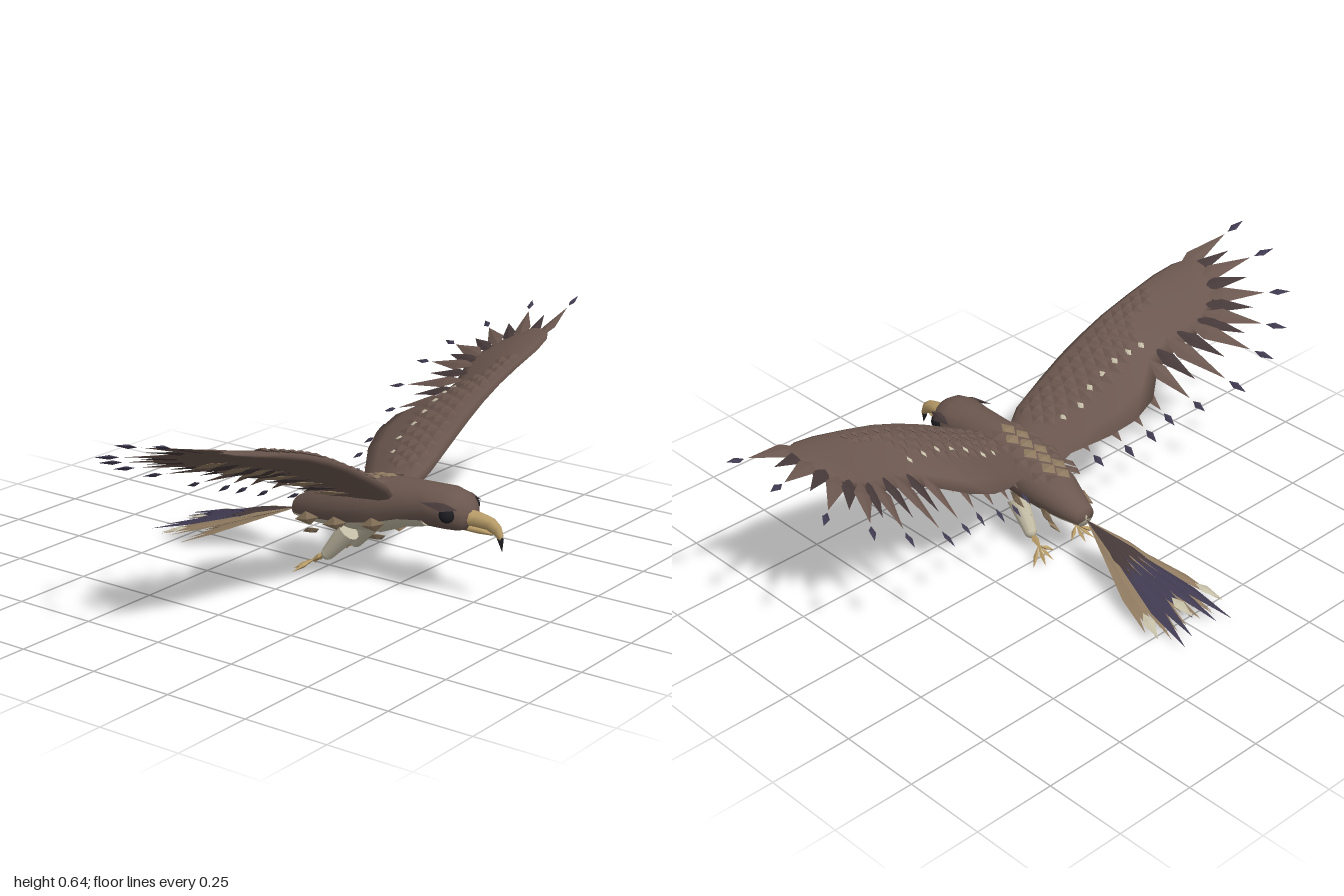
import * as THREE from 'three';

const mat = (name, color) => {
  const m = new THREE.MeshStandardMaterial({ color });
  m.name = name;
  return m;
};
const V = (x, y, z) => new THREE.Vector3(x, y, z);

export function createModel() {
  const bird = new THREE.Group();
  bird.name = 'bird';
  const brown = mat('brown plumage', 0x6b574f);
  const dark = mat('dark brown', 0x46393a);
  const tan = mat('tan feather', 0x8f7a60);
  const cream = mat('cream belly', 0xc4bda6);
  const violet = mat('violet feather', 0x403a50);
  const horn = mat('horn yellow', 0xb89c68);
  const black = mat('black', 0x1d1c20);
  belly: cream.side = THREE.DoubleSide;
  brown.side = THREE.DoubleSide;

  const add = (geo, material, name, parent = bird) => {
    const mesh = new THREE.Mesh(geo, material);
    mesh.name = name;
    parent.add(mesh);
    return mesh;
  };

  // Thin faceted blade, widest at fraction t between base and tip
  const blade = (parent, name, material, base, tip, width, up = V(0, 1, 0), t = 0.5, thick = 0.006) => {
    const dir = tip.clone().sub(base).normalize();
    const side = dir.clone().cross(up).normalize();
    const n = side.clone().cross(dir);
    const mid = base.clone().lerp(tip, t);
    const ring = [
      mid.clone().addScaledVector(side, width / 2), mid.clone().addScaledVector(n, thick / 2),
      mid.clone().addScaledVector(side, -width / 2), mid.clone().addScaledVector(n, -thick / 2)];
    const pts = [];
    ring.forEach((a, i) => {
      const b = ring[(i + 1) % 4];
      pts.push(base, a, b, tip, b, a);
    });
    const geo = new THREE.BufferGeometry().setFromPoints(pts);
    geo.computeVertexNormals();
    return add(geo, material, name, parent);
  };

  // Skin over rows of points
  const loft = (rows, flip, closed) => {
    const n = rows[0].length, index = [];
    for (let r = 0; r < rows.length - 1; r++) {
      for (let i = 0; i < (closed ? n : n - 1); i++) {
        const j = (i + 1) % n, a = r * n + i, b = r * n + j, c = a + n, d = b + n;
        index.push(...(flip ? [a, c, b, b, c, d] : [a, b, c, b, d, c]));
      }
    }
    const geo = new THREE.BufferGeometry().setFromPoints(rows.flat());
    geo.setIndex(index);
    geo.computeVertexNormals();
    return geo;
  };

  // Body rings: z, centre y, half width, half height, belly line y
  const rings = [
    [-0.115, 0.165, 0.004, 0.008, 0.14], [-0.11, 0.165, 0.034, 0.03, 0.15], [-0.05, 0.18, 0.055, 0.05, 0.157],
    [0.0, 0.195, 0.072, 0.062, 0.162], [0.1, 0.217, 0.088, 0.078, 0.174], [0.2, 0.233, 0.085, 0.083, 0.195],
    [0.28, 0.252, 0.07, 0.07, 0.218], [0.36, 0.262, 0.068, 0.062, 0.23], [0.365, 0.263, 0.068, 0.061, 0.1],
    [0.42, 0.265, 0.076, 0.06, 0.1], [0.46, 0.262, 0.068, 0.054, 0.1],
    [0.485, 0.256, 0.045, 0.042, 0.1], [0.498, 0.25, 0.004, 0.004, 0.1]];
  const bodyRows = (lower) => rings.map(([z, cy, rx, ry, yb]) => {
    const s = Math.asin(Math.max(-1, (yb - cy) / ry)), row = [];
    for (let i = 0; i <= 14; i++) {
      const a = lower ? -Math.PI - s + (i / 14) * (Math.PI + 2 * s) : s + (i / 14) * (Math.PI - 2 * s);
      row.push(V(rx * Math.cos(a), cy + ry * Math.sin(a), z));
    }
    return row;
  });
  add(loft(bodyRows(false)), brown, 'body');
  add(loft(bodyRows(true).slice(0, 8)), cream, 'belly');

  // Hooked beak
  const hook = (pts, material, name) => add(loft(pts.map(([z, y, rx, ry]) => {
    const row = [];
    for (let i = 0; i < 8; i++) {
      const a = (i / 8) * Math.PI * 2;
      row.push(V(rx * Math.cos(a), y + ry * Math.sin(a), z + ry * 0.4 * Math.sin(a)));
    }
    return row;
  }), false, true), material, name);
  hook([[0.47, 0.248, 0.03, 0.026], [0.51, 0.247, 0.024, 0.022], [0.55, 0.243, 0.018, 0.019],
    [0.575, 0.228, 0.013, 0.016], [0.588, 0.206, 0.008, 0.009]], horn, 'upperBeak');
  hook([[0.47, 0.222, 0.02, 0.012], [0.52, 0.218, 0.015, 0.009], [0.56, 0.214, 0.003, 0.003]], horn, 'lowerBeak');
  blade(bird, 'beakTip', black, V(0, 0.225, 0.58), V(0, 0.17, 0.59), 0.02, V(0, 0, 1), 0.35, 0.022);

  // Back scales
  for (let r = 0; r < 7; r++) {
    const z = 0.24 - r * 0.038, count = r % 2 ? 4 : 3;
    for (let i = 0; i < count; i++) {
      const x = (i - (count - 1) / 2) * 0.038;
      const y = 0.318 - (0.24 - z) * 0.2 - x * x * 5;
      blade(bird, 'backScale', Math.abs(x) < 0.03 ? tan : brown, V(x, y + 0.003, z), V(x * 1.1, y - 0.004, z - 0.06),
        0.042, V(x * 6, 1, 0.1), 0.5, 0.012);
    }
  }

  // Wing stations: x, leading y, leading z, trailing y, trailing z, half thickness
  const stations = [
    [0.04, 0.265, 0.26, 0.225, 0.06, 0.03], [0.1, 0.315, 0.282, 0.262, 0.05, 0.026],
    [0.2, 0.375, 0.284, 0.305, -0.01, 0.022], [0.28, 0.42, 0.284, 0.335, -0.035, 0.02],
    [0.36, 0.458, 0.282, 0.368, -0.025, 0.02], [0.45, 0.493, 0.28, 0.40, 0.045, 0.018],
    [0.55, 0.522, 0.277, 0.435, 0.055, 0.016], [0.66, 0.55, 0.274, 0.48, 0.03, 0.013],
    [0.73, 0.567, 0.262, 0.515, 0.06, 0.009], [0.78, 0.58, 0.235, 0.545, 0.11, 0.002]];
  const wingPoint = (s, x, u, side) => {
    let k = 0;
    while (k < stations.length - 2 && stations[k + 1][0] < x) k++;
    const a = stations[k], b = stations[k + 1], f = (x - a[0]) / (b[0] - a[0]);
    const [, yl, zl, yt, zt, h] = a.map((v, i) => v + (b[i] - v) * f);
    const bulge = h * Math.sin(Math.PI * Math.pow(u, 0.6));
    return V(s * x, yl + (yt - yl) * u + 0.012 * Math.sin(Math.PI * u) + side * bulge, zl + (zt - zl) * u);
  };
  // Flight feather ends: x, y, z of the dark tip, then x and u of the root, and width
  const flight = [
    [0.99, 0.643, 0.21, 0.72, 0.15, 0.055], [0.965, 0.612, 0.06, 0.72, 0.45, 0.055],
    [0.90, 0.54, -0.07, 0.70, 0.7, 0.055], [0.80, 0.485, -0.15, 0.66, 0.8, 0.055],
    [0.70, 0.435, -0.19, 0.61, 0.8, 0.055], [0.57, 0.38, -0.2, 0.53, 0.75, 0.055],
    [0.46, 0.335, -0.14, 0.44, 0.75, 0.05], [0.375, 0.305, -0.1, 0.36, 0.8, 0.04],
    [0.30, 0.28, -0.1, 0.29, 0.8, 0.04], [0.225, 0.255, -0.085, 0.22, 0.8, 0.04],
    [0.145, 0.238, -0.04, 0.14, 0.75, 0.04]];

  for (const s of [1, -1]) {
    const wing = new THREE.Group();
    wing.name = s > 0 ? 'leftWing' : 'rightWing';
    bird.add(wing);
    const up = V(-s * 0.45, 1, -0.3);

    // Wing blade
    const us = [0.06, 0.2, 0.4, 0.65, 0.85];
    const rows = stations.map(([x]) => [wingPoint(s, x, 0, 0), ...us.map((u) => wingPoint(s, x, u, 1)),
      wingPoint(s, x, 1, 0), ...us.slice().reverse().map((u) => wingPoint(s, x, u, -1))]);
    add(loft(rows, s < 0, true), brown, 'wingBlade', wing);

    // Flight feathers with small dark tips
    flight.forEach(([x, y, z, rx, u, w], i) => {
      const root = wingPoint(s, rx, u, 0), end = V(s * x, y, z);
      const len = root.distanceTo(end), tipLen = i < 6 ? 0.065 : 0.048;
      blade(wing, 'flightFeather', brown, root, root.clone().lerp(end, 1 - (tipLen + 0.012) / len), w, up, 0.35, 0.012);
      blade(wing, 'featherTip', violet, root.clone().lerp(end, 1 - tipLen / len), end, 0.022, up, 0.4, 0.012);
    });
    // Shorter feathers between the outer ones
    for (let i = 0; i < 6; i++) {
      const a = flight[i], b = flight[i + 1];
      const root = wingPoint(s, (a[3] + b[3]) / 2, (a[4] + b[4]) / 2, 0);
      const end = V(s * (a[0] + b[0]) / 2, (a[1] + b[1]) / 2, (a[2] + b[2]) / 2);
      blade(wing, 'shortFeather', dark, root, root.clone().lerp(end, 0.6), 0.045, up, 0.4, 0.01);
    }

    // Overlapping covert scales
    for (let r = 0; r < 4; r++) {
      const count = [14, 13, 11, 10][r];
      for (let i = 0; i < count; i++) {
        const x = 0.09 + (i + (r % 2) * 0.5) * 0.038, u = 0.08 + r * 0.12;
        const base = wingPoint(s, x, u, 1), tip = wingPoint(s, x, u + 0.22, 1);
        base.y += 0.002;
        tip.y += 0.006;
        blade(wing, 'covertScale', brown, base, tip, 0.04, up, 0.5, 0.014);
      }
    }
    // Pale spots behind the scales
    for (let i = 0; i < 7; i++) {
      const x = 0.14 + i * 0.052, k = stations.findIndex((q) => q[0] > x);
      const u = (0.28 - 0.12) / (0.28 - (stations[k][4] + stations[k - 1][4]) / 2);
      const p = wingPoint(s, x, u, 1).add(V(0, 0.006, 0));
      blade(wing, 'paleSpot', cream, p.clone().add(V(0, 0.005, 0.013)), p.clone().add(V(0, -0.005, -0.013)), 0.02, up, 0.5, 0.008);
    }
    // Tan feathers under the wing
    for (let i = 0; i < 13; i++) {
      const x = 0.12 + i * 0.043;
      const base = wingPoint(s, x, 0.5, -1), tip = wingPoint(s, x + 0.012, 0.97, -1);
      base.y -= 0.004;
      tip.y -= 0.012;
      blade(wing, 'underFeather', i % 2 ? dark : tan, base, tip, 0.045, up, 0.5, 0.012);
    }

    // Eye and brow
    const eye = add(new THREE.SphereGeometry(0.023, 12, 8), black, 'eye');
    eye.position.set(s * 0.061, 0.264, 0.448);
    blade(bird, 'brow', dark, V(s * 0.06, 0.283, 0.48), V(s * 0.085, 0.292, 0.375), 0.035, V(s * 0.6, 1, 0), 0.4, 0.014);

    // Flank scales in pairs
    [[0.24, 0.19, 0.077], [0.11, 0.167, 0.078], [0.0, 0.157, 0.064]].forEach(([z, y, x]) => {
      blade(bird, 'flankScale', tan, V(s * x, y + 0.012, z + 0.01), V(s * (x + 0.014), y - 0.005, z - 0.065), 0.045, V(s, -0.25, 0), 0.45, 0.02);
      blade(bird, 'flankScale', tan, V(s * x * 0.75, y - 0.03, z), V(s * x * 0.75, y - 0.05, z - 0.06), 0.04, V(s * 0.7, -1, 0), 0.45, 0.016);
    });

    // Leg: feathered thigh, shank and toes
    const leg = new THREE.Group();
    leg.name = s > 0 ? 'leftLeg' : 'rightLeg';
    bird.add(leg);
    const thigh = add(new THREE.CylinderGeometry(0.034, 0.02, 0.105, 10), cream, 'thigh', leg);
    thigh.position.set(s * 0.062, 0.108, 0.078);
    thigh.quaternion.setFromUnitVectors(V(0, 1, 0), V(-s * 0.1, 0.72, 0.6).normalize());
    const knee = add(new THREE.SphereGeometry(0.02, 10, 6), cream, 'thighEnd', leg);
    knee.position.set(s * 0.068, 0.07, 0.046);
    const ankle = V(s * 0.078, 0.035, -0.01);
    blade(leg, 'shank', horn, V(s * 0.068, 0.075, 0.05), ankle, 0.022, V(0, 1, 0.5), 0.5, 0.02);
    [[0.132, 0.012, -0.035], [0.1, 0.012, -0.052], [0.065, 0.013, -0.048], [0.035, 0.02, -0.02]].forEach(([x, y, z]) =>
      blade(leg, 'toe', horn, V(s * 0.076, 0.045, 0.005), V(s * x, y, z), 0.014, V(0, 1, 0), 0.5, 0.014));
  }

  // Tail fan: tip x, tip z, colour of the vane, pale tip or not
  const tail = new THREE.Group();
  tail.name = 'tail';
  bird.add(tail);
  const tailUp = V(0, 1, 0.3);
  const fan = [[0, -0.54, violet, 1], [0.025, -0.54, tan, 0], [0.05, -0.585, violet, 0], [0.075, -0.54, tan, 0],
    [0.095, -0.6, violet, 0], [0.13, -0.53, tan, 1]];
  fan.forEach(([tx, tz, vane, pale], i) => {
    for (const s of tx ? [1, -1] : [1]) {
      const root = V(0, 0.157, -0.115), tip = V(s * tx, 0.155 + (tz + 0.12) * 0.29 - (i % 2) * 0.012, tz);
      blade(tail, 'tailVane', vane, root.clone().lerp(tip, 0.2), tip, 0.038, tailUp, 0.65, 0.01);
      const high = V(0, 0.004, 0);
      blade(tail, 'tailBase', i % 2 ? tan : dark, root, root.clone().lerp(tip, 0.5).add(high), 0.026, tailUp, 0.6, 0.012);
      if (pale) blade(tail, 'paleTip', cream, root.clone().lerp(tip, 0.8).add(high), tip.clone().add(high), 0.036, tailUp, 0.35, 0.01);
      // Low lying under-feather
      blade(tail, 'underTail', tan, root, V(s * tx * 0.9, Math.max(0.004, tip.y - 0.025), tz + 0.06), 0.03, tailUp, 0.7, 0.008);
    }
  });
  return bird;
}
